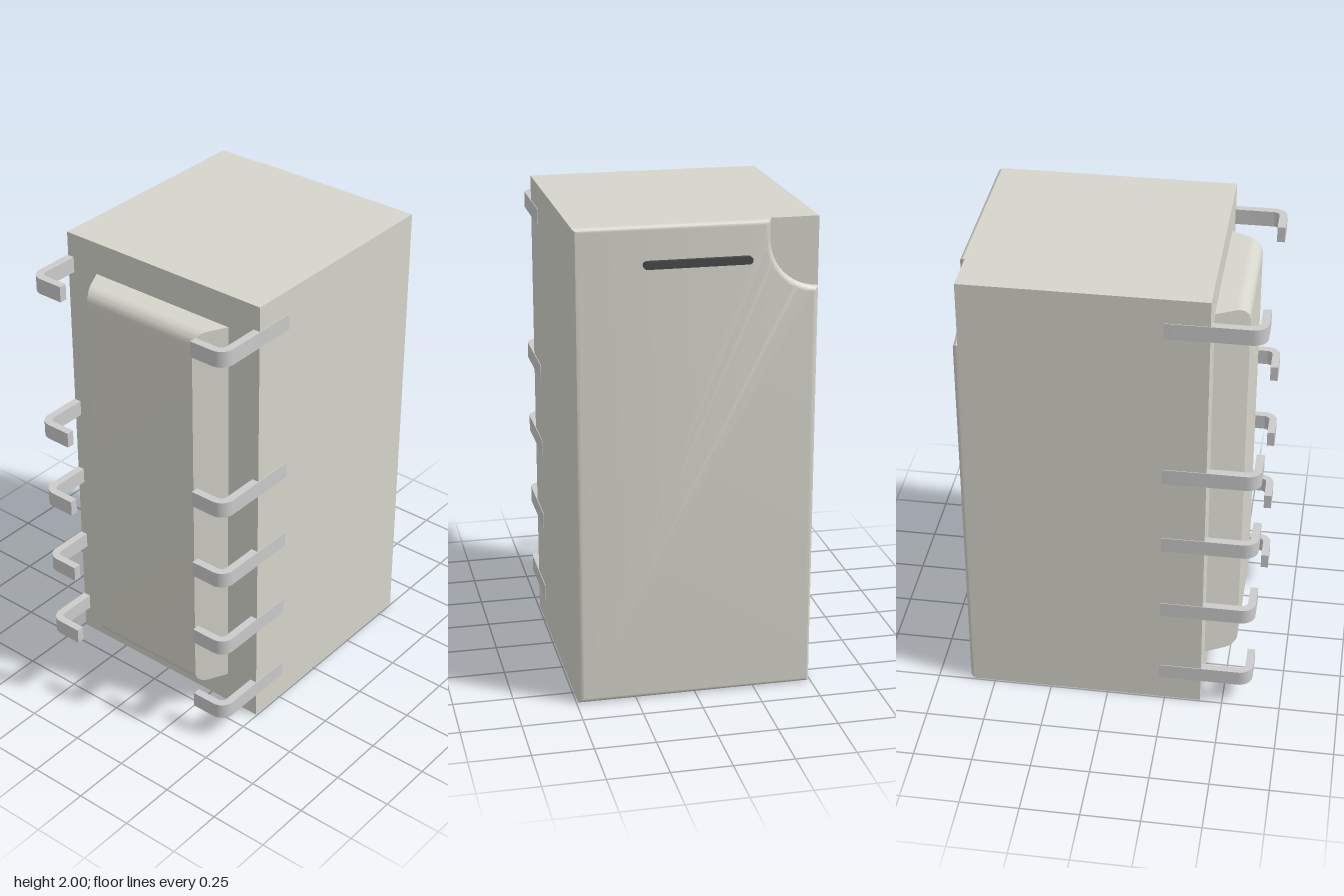
import * as THREE from 'three';
import { toCreasedNormals } from 'three/addons/utils/BufferGeometryUtils.js';

const shellMat = new THREE.MeshStandardMaterial({ color: 0xd6d5cb });
const metalMat = new THREE.MeshStandardMaterial({ color: 0xcccccc });
const darkMat = new THREE.MeshStandardMaterial({ color: 0x4a4a4a });

const HALF = 0.493, HEIGHT = 2, FRONT = 0.405, LEDGE = -0.588, EDGE = 0.024;

function add(parent, name, geometry, material) {
  const mesh = new THREE.Mesh(geometry, material);
  mesh.name = name;
  parent.add(mesh);
  return mesh;
}

function extrude(shape, depth, options = {}) {
  const geo = new THREE.ExtrudeGeometry(shape, { depth, bevelEnabled: false, curveSegments: 12, ...options });
  return toCreasedNormals(geo, 0.6);
}

// Back cover outline with a rounded notch in the upper corner
function coverShape() {
  const r = 0.198, cy = 1.92;
  const s = new THREE.Shape();
  s.moveTo(-HALF, 0);
  s.lineTo(HALF, 0);
  s.lineTo(HALF, HEIGHT);
  s.lineTo(-HALF + r, HEIGHT);
  s.lineTo(-HALF + r, cy);
  s.absarc(-HALF, cy, r, 0, -Math.PI / 2, true);
  s.closePath();
  return s;
}

// Front block: rounded profile along x, then tapered toward the front
function frontBlock() {
  const y0 = 0.145, y1 = 1.86, z1 = 0.54, r = 0.055, base = 0.34, tip = 0.27;
  const s = new THREE.Shape(); // shape x = world z
  s.moveTo(FRONT - 0.02, y0);
  s.lineTo(z1 - r, y0);
  s.absarc(z1 - r, y0 + r, r, -Math.PI / 2, 0, false);
  s.lineTo(z1, y1 - r);
  s.absarc(z1 - r, y1 - r, r, 0, Math.PI / 2, false);
  s.lineTo(FRONT - 0.02, y1);
  s.closePath();
  const geo = new THREE.ExtrudeGeometry(s, { depth: 2, bevelEnabled: false, curveSegments: 12 });
  geo.translate(0, 0, -1);
  geo.rotateY(-Math.PI / 2);
  geo.rotateY(Math.PI); // shape x now runs along +z
  const p = geo.attributes.position;
  const sign = p.getZ(0) < 0 ? -1 : 1;
  if (sign < 0) geo.rotateY(Math.PI);
  for (let i = 0; i < p.count; i++) {
    const t = (p.getZ(i) - FRONT) / (z1 - FRONT);
    p.setX(i, p.getX(i) * THREE.MathUtils.lerp(base, tip, t));
  }
  return toCreasedNormals(geo, 0.6);
}

// Bent strip: runs out along z, then turns inward into a foot
function leadGeometry(side) {
  const out = 0.496, t = 0.033, foot = 0.333, z0 = 0.225, z1 = 0.625, ro = 0.058, ri = 0.025;
  const width = 0.068;
  const s = new THREE.Shape(); // shape y = -world z
  s.moveTo(out, -z0);
  s.lineTo(out - t, -z0);
  s.lineTo(out - t, -(z1 - t - ri));
  s.absarc(out - t - ri, -(z1 - t - ri), ri, 0, -Math.PI / 2, true);
  s.lineTo(foot, -(z1 - t));
  s.lineTo(foot, -z1);
  s.lineTo(out - ro, -z1);
  s.absarc(out - ro, -(z1 - ro), ro, -Math.PI / 2, 0, false);
  s.closePath();
  const geo = extrude(s, width);
  geo.translate(0, 0, -width / 2);
  geo.rotateX(-Math.PI / 2);
  // the strip is symmetric in height, so a half turn about z mirrors it
  if (side < 0) geo.rotateZ(Math.PI);
  return geo;
}

// Thin bar with round ends
function barShape(half, r) {
  const s = new THREE.Shape();
  s.absarc(half - r, 0, r, -Math.PI / 2, Math.PI / 2, false);
  s.absarc(-half + r, 0, r, Math.PI / 2, Math.PI * 1.5, false);
  s.closePath();
  return s;
}

export function createModel() {
  const model = new THREE.Group();
  model.name = 'relay';

  // Housing
  const body = add(model, 'housing', new THREE.BoxGeometry(HALF * 2, HEIGHT, FRONT - LEDGE), shellMat);
  body.position.set(0, HEIGHT / 2, (FRONT + LEDGE) / 2);

  // Rounded back cover; its inner half is buried in the housing
  const cover = add(model, 'backCover', extrude(coverShape(), 0.002, {
    bevelEnabled: true, bevelThickness: EDGE, bevelSize: EDGE, bevelOffset: -EDGE, bevelSegments: 6,
  }), shellMat);
  cover.position.z = LEDGE;

  add(model, 'frontBlock', frontBlock(), shellMat);

  // Dark marker bar near the top of the back
  const bar = add(model, 'markerBar', extrude(barShape(0.218, 0.016), 0.03), darkMat);
  bar.position.set(0, 1.845, -0.63);

  // Five leads on each side
  const leads = new THREE.Group();
  leads.name = 'leads';
  model.add(leads);
  for (const side of [1, -1]) {
    const geo = leadGeometry(side);
    [0.145, 0.487, 0.832, 1.176, 1.861].forEach((y, i) => {
      const lead = add(leads, `${side > 0 ? 'left' : 'right'}Lead${i + 1}`, geo, metalMat);
      lead.position.y = y;
    });
  }
  return model;
}
